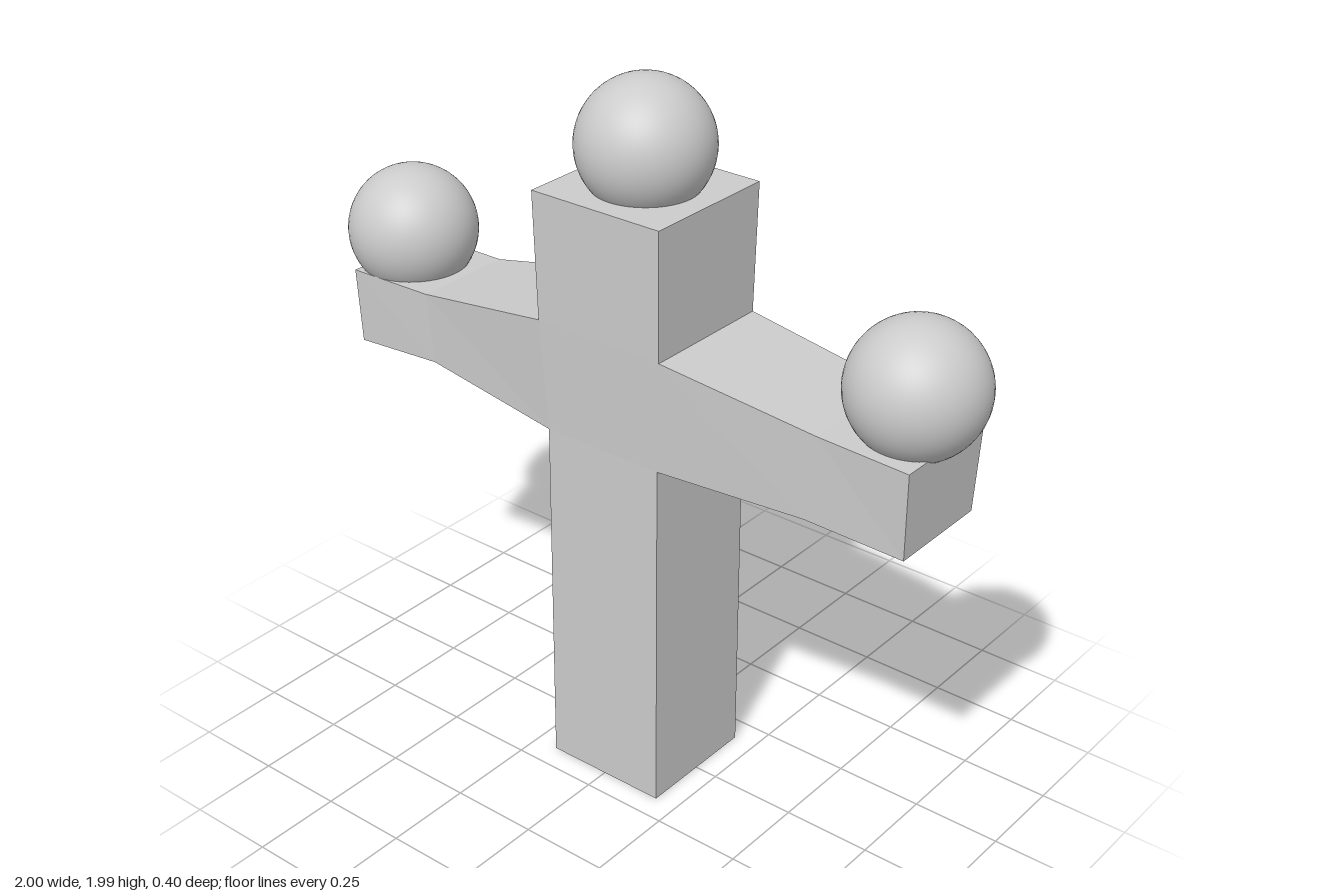
import * as THREE from 'three';

const material = new THREE.MeshStandardMaterial({ color: 0xcccccc, flatShading: true });
const smooth = new THREE.MeshStandardMaterial({ color: 0xcccccc });

// Closed solid through a list of four-cornered rings, each counterclockwise seen from the far end
function loft(rings) {
  const positions = [];
  const tri = (a, b, c) => positions.push(...a, ...b, ...c);
  for (let i = 0; i < rings.length - 1; i++) {
    const a = rings[i], b = rings[i + 1];
    for (let j = 0; j < 4; j++) {
      const k = (j + 1) % 4;
      tri(a[j], a[k], b[k]);
      tri(a[j], b[k], b[j]);
    }
  }
  const s = rings[0], e = rings[rings.length - 1];
  tri(s[0], s[2], s[1]);
  tri(s[0], s[3], s[2]);
  tri(e[0], e[1], e[2]);
  tri(e[0], e[2], e[3]);
  const geometry = new THREE.BufferGeometry();
  geometry.setAttribute('position', new THREE.Float32BufferAttribute(positions, 3));
  geometry.computeVertexNormals();
  return geometry;
}

// Horizontal ring of the post
const level = (y, left, right, z) => [[left, y, z], [right, y, z], [right, y, -z], [left, y, -z]];

// Upright ring of an arm, from its lower and upper edge (x, y, half depth)
const section = ([bx, by, bz], [tx, ty, tz]) =>
  [[bx, by, bz], [bx, by, -bz], [tx, ty, -tz], [tx, ty, tz]];

export function createModel() {
  const group = new THREE.Group();
  const add = (name, geometry, mat) => {
    const mesh = new THREE.Mesh(geometry, mat);
    mesh.name = name;
    group.add(mesh);
    return mesh;
  };

  // Upright post, widening slightly toward the head
  add('post', loft([
    level(0, -0.18, 0.183, 0.18),
    level(1.03, -0.178, 0.183, 0.18),
    level(1.345, -0.194, 0.197, 0.192),
    level(1.7, -0.2, 0.202, 0.2),
  ]), material);

  // Tapering arms
  add('leftArm', loft([
    section([0.183, 1.03, 0.18], [0.197, 1.345, 0.192]),
    section([0.62, 1.048, 0.16], [0.65, 1.29, 0.167]),
    section([0.9, 1.035, 0.15], [0.908, 1.277, 0.163]),
  ]), material);
  add('rightArm', loft([
    section([-0.895, 1.052, 0.145], [-0.905, 1.265, 0.15]),
    section([-0.62, 1.07, 0.145], [-0.64, 1.268, 0.147]),
    section([-0.178, 1.03, 0.18], [-0.194, 1.345, 0.192]),
  ]), material);

  // Balls resting on the head and on both arm ends
  const ball = new THREE.SphereGeometry(0.179, 48, 32);
  add('topBall', ball, smooth).position.set(0, 1.81, 0);
  add('leftBall', ball, smooth).position.set(0.817, 1.405, 0);
  add('rightBall', ball, smooth).position.set(-0.821, 1.365, 0);

  return group;
}
